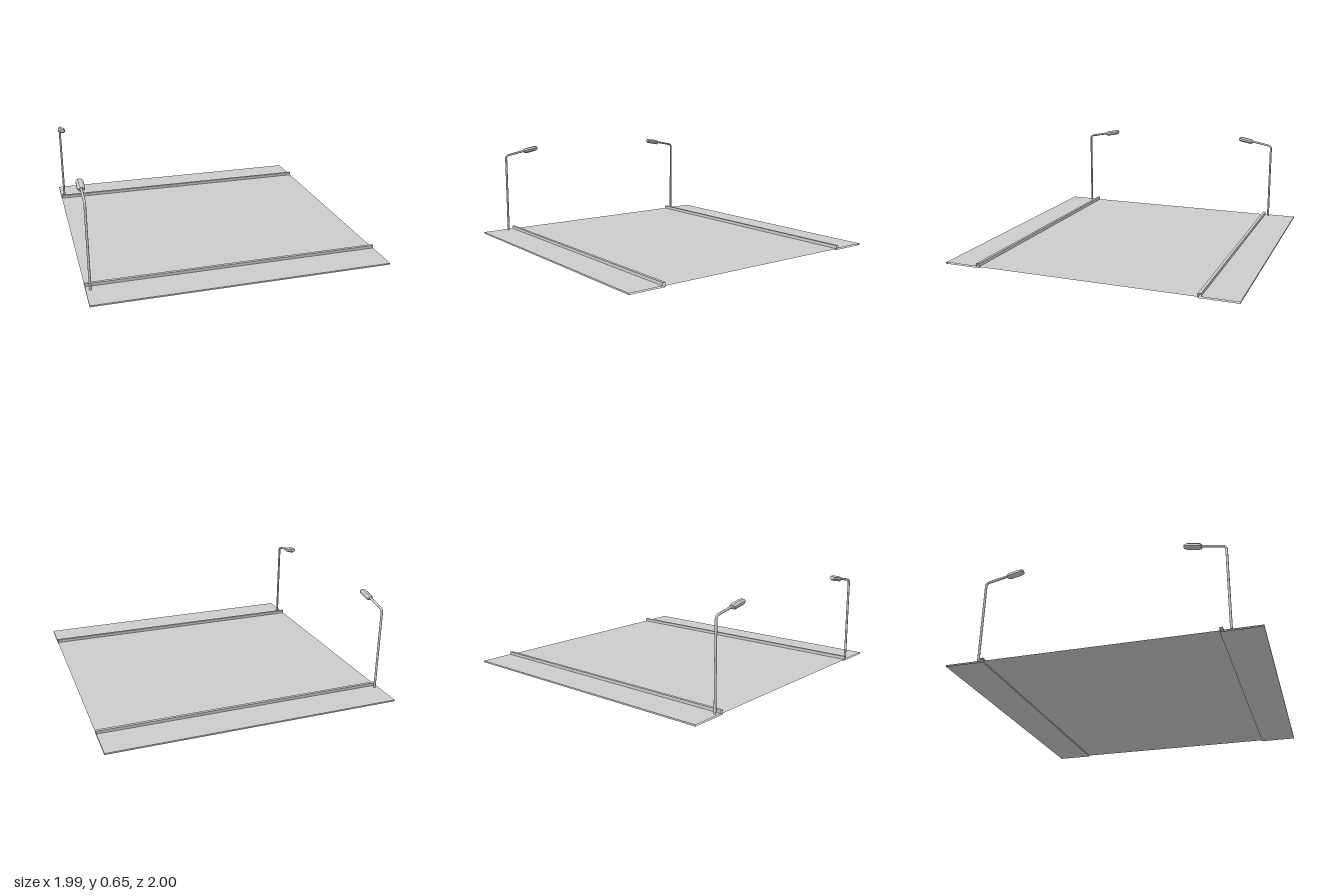
import * as THREE from 'three';

const X0 = -0.997, X1 = 0.99;

// Open-ended sheet: a (z, y) profile swept along x
function sweep(name, profile, material) {
  const pos = [];
  for (let i = 0; i < profile.length - 1; i++) {
    const [za, ya] = profile[i], [zb, yb] = profile[i + 1];
    pos.push(X0, ya, za, X0, yb, zb, X1, yb, zb);
    pos.push(X0, ya, za, X1, yb, zb, X1, ya, za);
  }
  const g = new THREE.BufferGeometry();
  g.setAttribute('position', new THREE.Float32BufferAttribute(pos, 3));
  g.computeVertexNormals();
  const m = new THREE.Mesh(g, material);
  m.name = name;
  return m;
}

// Street lamp standing at the origin, its arm reaching towards -z
function createLamp(grey, faceted) {
  const lamp = new THREE.Group();
  const path = new THREE.CurvePath();
  const v = (y, z) => new THREE.Vector3(0, y, z);
  path.add(new THREE.LineCurve3(v(0.01, 0), v(0.57, 0)));
  path.add(new THREE.QuadraticBezierCurve3(v(0.57, 0), v(0.59, 0), v(0.595, -0.02)));
  path.add(new THREE.LineCurve3(v(0.595, -0.02), v(0.622, -0.16)));
  const pole = new THREE.Mesh(new THREE.TubeGeometry(path, 80, 0.008, 10), grey);
  pole.name = 'poleAndArm';
  lamp.add(pole);

  // Eight-sided lamp head: flattened, with chamfered ends
  const pts = [[0, 0], [0.019, 0], [0.026, 0.014], [0.026, 0.092], [0.017, 0.112], [0, 0.112]]
    .map(([r, y]) => new THREE.Vector2(r, y));
  const g = new THREE.LatheGeometry(pts, 8, Math.PI / 8);
  g.scale(1, 1, 0.75);
  g.rotateX(-Math.PI / 2 + 0.19);
  const head = new THREE.Mesh(g, faceted);
  head.name = 'lampHead';
  head.position.set(0, 0.617, -0.152);
  lamp.add(head);
  return lamp;
}

export function createModel() {
  const model = new THREE.Group();
  const sheet = new THREE.MeshStandardMaterial({ color: 0xcccccc, side: THREE.DoubleSide, flatShading: true });
  const faceted = sheet.clone();
  const grey = new THREE.MeshStandardMaterial({ color: 0xcccccc });

  // Road surface
  model.add(sweep('road', [[0.745, 0.008], [-0.745, 0.008]], sheet));

  for (const s of [1, -1]) {
    const side = s > 0 ? 'front' : 'back';
    // Pavement with raised kerb along the road
    const profile = [[1, 0], [1, 0.01], [0.765, 0.01], [0.765, 0.03], [0.745, 0.03], [0.745, 0], [1, 0]];
    model.add(sweep(side + 'PavementAndKerb', profile.map(([z, y]) => [z * s, y]), sheet));

    const lamp = createLamp(grey, faceted);
    lamp.name = side + 'StreetLamp';
    lamp.position.set(-0.97 + s * 0.002, 0, s > 0 ? 0.81 : -0.79);
    if (s < 0) lamp.rotation.y = Math.PI;
    model.add(lamp);
  }
  return model;
}
